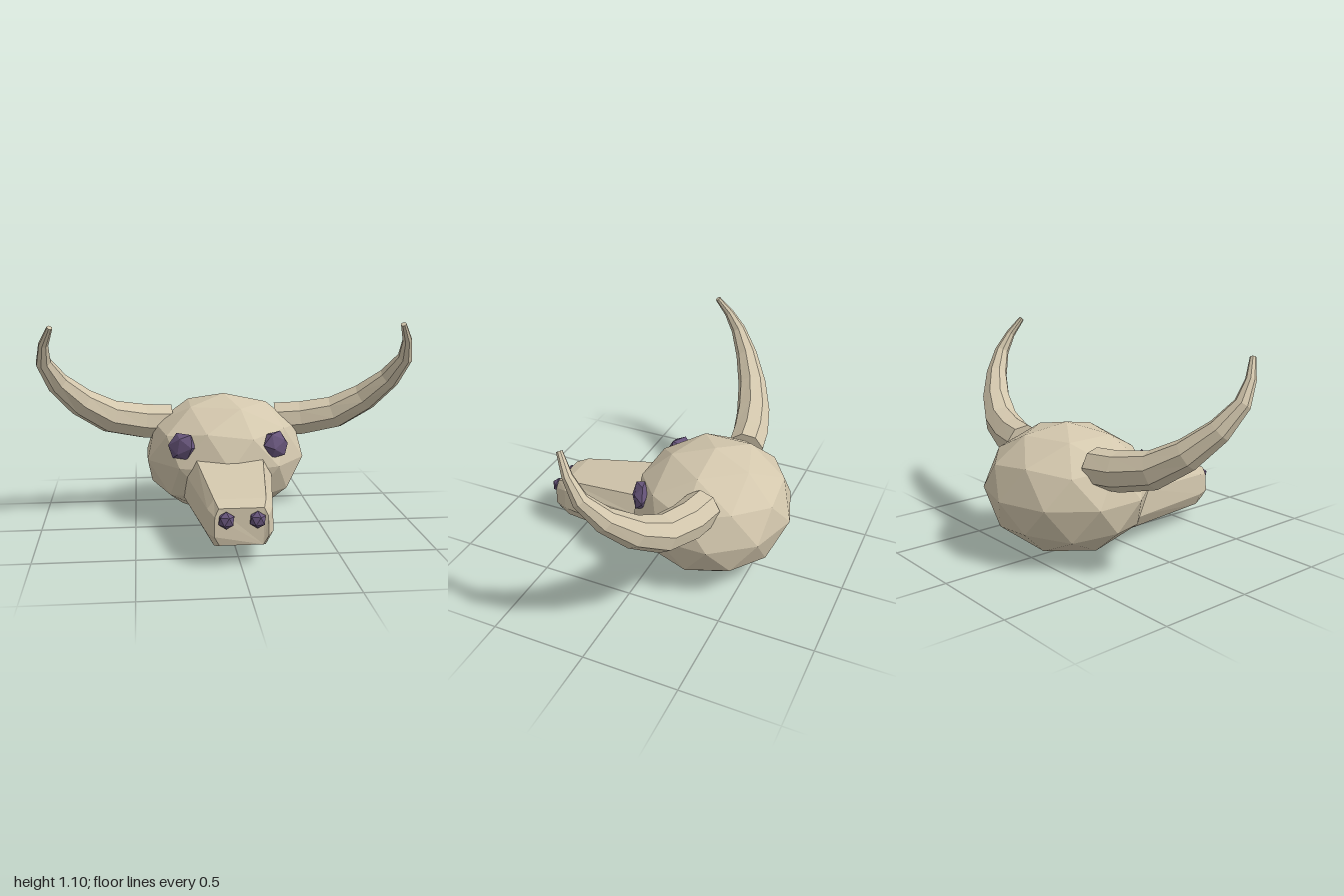
import * as THREE from 'three';

const bone = new THREE.MeshStandardMaterial({ color: 0xd3c7ad });
bone.name = 'bone';
const purple = new THREE.MeshStandardMaterial({ color: 0x66547a });
purple.name = 'dark purple';

// Faceted ball with a vertex at the top and one upper vertex towards +x
function facetedBall(detail, rx, ry, rz) {
  const geo = new THREE.IcosahedronGeometry(1, detail);
  geo.rotateX(-Math.PI / 2 + Math.atan2(2, 1 + Math.sqrt(5)));
  geo.rotateY(Math.PI / 2);
  geo.scale(rx, ry, rz);
  geo.computeVertexNormals();
  return geo;
}

// Flat-faced skin over rings that run counter-clockwise around the path, capped at both ends
function loft(rings) {
  const n = rings[0].length;
  const pos = [];
  const tri = (...pts) => pts.forEach((p) => pos.push(p.x, p.y, p.z));
  for (let i = 0; i < rings.length - 1; i++) {
    for (let j = 0; j < n; j++) {
      const k = (j + 1) % n;
      tri(rings[i][j], rings[i][k], rings[i + 1][k]);
      tri(rings[i][j], rings[i + 1][k], rings[i + 1][j]);
    }
  }
  const first = rings[0];
  const last = rings[rings.length - 1];
  for (let j = 1; j < n - 1; j++) {
    tri(first[0], first[j + 1], first[j]);
    tri(last[0], last[j], last[j + 1]);
  }
  const geo = new THREE.BufferGeometry();
  geo.setAttribute('position', new THREE.Float32BufferAttribute(pos, 3));
  geo.computeVertexNormals();
  return geo;
}

// Muzzle ring: four corners on the +x side from bottom to top, mirrored to -x
function muzzleRing(z, half) {
  const right = half.map(([x, y, dz = 0]) => new THREE.Vector3(x, y, z + dz));
  const left = right.map((p) => new THREE.Vector3(-p.x, p.y, p.z)).reverse();
  return [...right, ...left];
}

// Horn: x, y, z and radius along its sweep
const hornPath = [
  [0.30, 0.515, -0.32, 0.1],
  [0.45, 0.525, -0.295, 0.1],
  [0.63, 0.565, -0.245, 0.094],
  [0.78, 0.66, -0.178, 0.079],
  [0.895, 0.78, -0.095, 0.06],
  [0.955, 0.90, -0.015, 0.041],
  [0.945, 1.0, 0.045, 0.026],
  [0.905, 1.09, 0.1, 0.015],
];

function hornGeometry(side) {
  const pts = hornPath.map(([x, y, z]) => new THREE.Vector3(x * side, y, z));
  const normal = new THREE.Vector3(-0.16 * side, -0.56, 0.8).normalize();
  const rings = pts.map((p, i) => {
    const t = pts[Math.min(i + 1, pts.length - 1)].clone().sub(pts[Math.max(i - 1, 0)]).normalize();
    const u = normal.clone().addScaledVector(t, -normal.dot(t)).normalize();
    const v = t.clone().cross(u);
    return Array.from({ length: 8 }, (_, j) => {
      const a = ((j + 0.5) / 8) * Math.PI * 2;
      const r = hornPath[i][3];
      return p.clone().addScaledVector(u, Math.cos(a) * r).addScaledVector(v, Math.sin(a) * r);
    });
  });
  return loft(rings);
}

export function createModel() {
  const model = new THREE.Group();
  model.name = 'hornedSkull';
  const add = (name, geo, mat, x = 0, y = 0, z = 0) => {
    const mesh = new THREE.Mesh(geo, mat);
    mesh.name = name;
    mesh.position.set(x, y, z);
    model.add(mesh);
    return mesh;
  };

  add('cranium', facetedBall(1, 0.45, 0.34, 0.425), bone, 0, 0.34, -0.262);

  // Tapered muzzle with chamfered edges, its root hidden in the cranium
  add('muzzle', loft([
    muzzleRing(-0.1, [[0.2, 0.09], [0.25, 0.16], [0.25, 0.31], [0.2, 0.41]]),
    muzzleRing(0.1, [[0.18, 0.09], [0.225, 0.16], [0.222, 0.295], [0.175, 0.385]]),
    muzzleRing(0.57, [[0.125, 0.086], [0.163, 0.155], [0.157, 0.27], [0.125, 0.317]]),
    muzzleRing(0.635, [[0.105, 0.108], [0.13, 0.155, 0.01], [0.127, 0.25, 0.005], [0.108, 0.29]]),
  ]), bone);

  for (const side of [1, -1]) {
    const label = side > 0 ? 'left' : 'right';
    add(label + 'Horn', hornGeometry(side), bone);

    // Flattened eye lying against the curve of the cranium
    const eye = add(label + 'Eye', facetedBall(0, 0.085, 0.078, 0.042), purple, 0.25 * side, 0.453, 0.05);
    eye.rotation.set(-0.15, 0.55 * side, -0.4 * side);

    add(label + 'Nostril', facetedBall(0, 0.042, 0.043, 0.038), purple, 0.074 * side, 0.237, 0.653);
  }
  return model;
}
